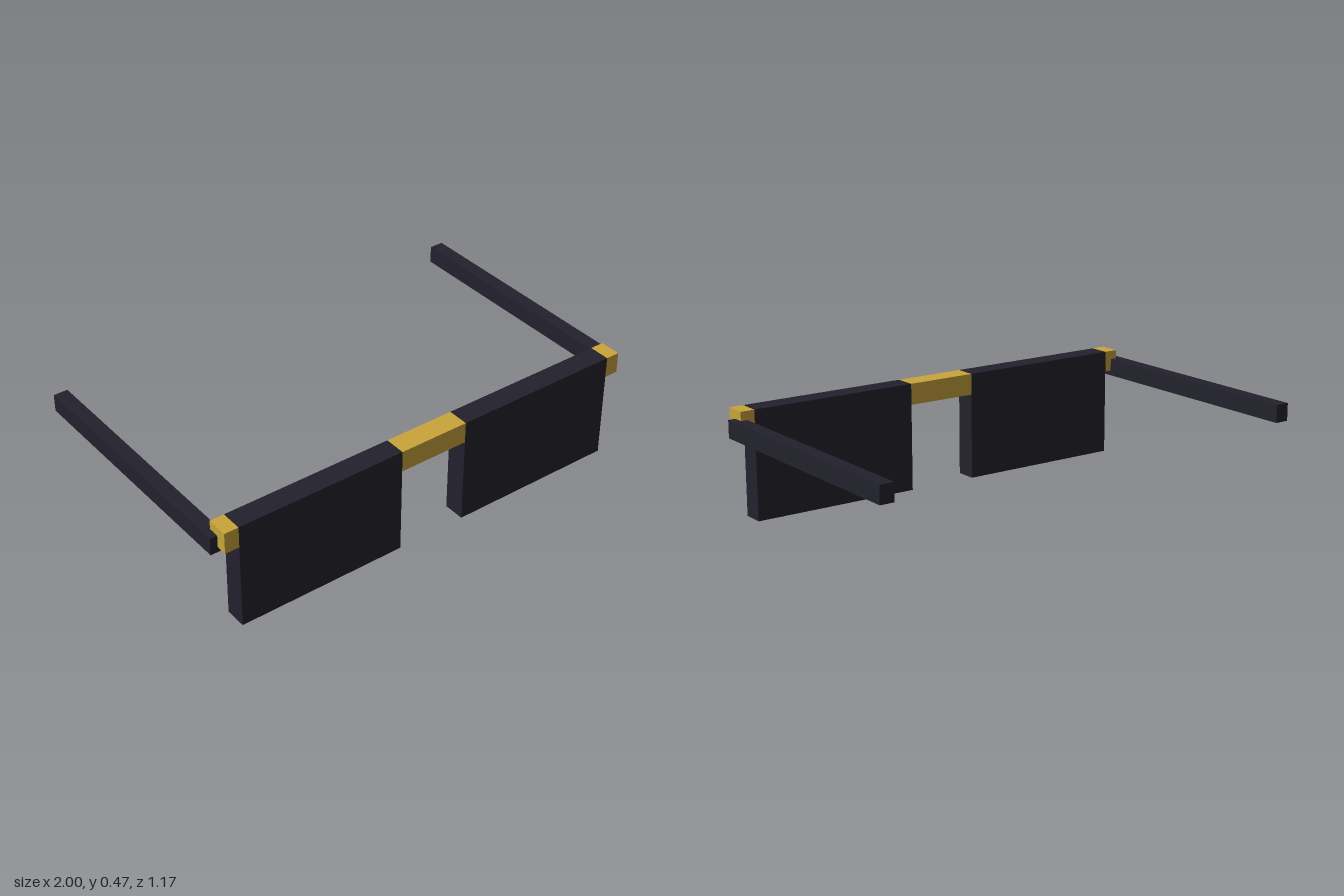
import * as THREE from 'three';

const dark = new THREE.MeshStandardMaterial({ color: 0x23222d });
dark.name = 'dark frame';
const gold = new THREE.MeshStandardMaterial({ color: 0xc9a53a });
gold.name = 'gold trim';

// Box given by its lower and upper corners
function block(name, material, [x0, y0, z0], [x1, y1, z1]) {
  const mesh = new THREE.Mesh(new THREE.BoxGeometry(x1 - x0, y1 - y0, z1 - z0), material);
  mesh.position.set((x0 + x1) / 2, (y0 + y1) / 2, (z0 + z1) / 2);
  mesh.name = name;
  return mesh;
}

export function createModel() {
  const glasses = new THREE.Group();
  glasses.name = 'glasses';

  const front = 0.586, back = 0.492;   // depth of the lens frame
  const top = 0.469, barBottom = 0.377; // height of the gold bar
  const lensIn = 0.156, lensOut = 0.906;

  // Gold bridge between the lenses
  glasses.add(block('bridge', gold, [-lensIn, barBottom, back], [lensIn, top, front]));

  for (const [side, s] of [['left', 1], ['right', -1]]) {
    const add = (name, material, [a, y0, z0], [b, y1, z1]) => {
      const x0 = Math.min(a * s, b * s), x1 = Math.max(a * s, b * s);
      glasses.add(block(side + name, material, [x0, y0, z0], [x1, y1, z1]));
    };
    // Thick rectangular lens
    add('Lens', dark, [lensIn, 0, back], [lensOut, top, front]);
    // Gold end of the bar, where the temple is hinged
    add('Hinge', gold, [lensOut, barBottom, back], [0.968, top, front]);
    // Straight temple arm
    add('Temple', dark, [0.938, 0.355, -0.586], [1, 0.431, 0.539]);
  }
  return glasses;
}
